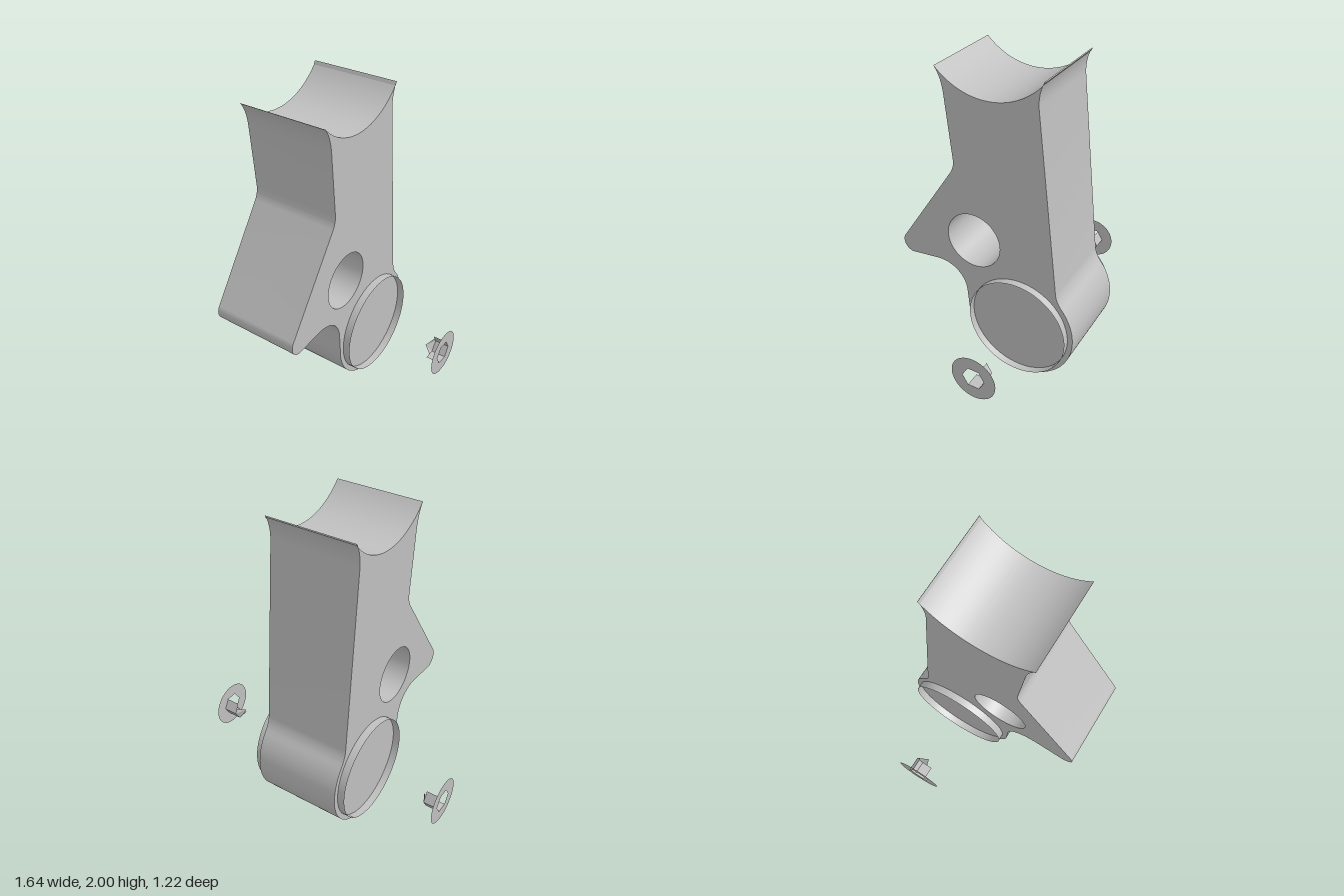
import * as THREE from 'three';
import { toCreasedNormals } from 'three/addons/utils/BufferGeometryUtils.js';

const HALF = 0.283;               // half width of the arm
const PIVOT = { u: 0.24, y: 0.365 }; // pivot centre, u = -z

// Side outline of the arm, drawn in (u = -z, y)
function armShape() {
  const s = new THREE.Shape();
  s.moveTo(-0.305, 1.955);
  s.quadraticCurveTo(-0.258, 1.9, -0.247, 1.78);
  s.lineTo(-0.206, 1.41);
  s.quadraticCurveTo(-0.2, 1.36, -0.228, 1.315);
  s.absarc(-0.538, 0.715, 0.073, 2.545, 4.6, false);        // nose
  s.lineTo(-0.36, 0.662);
  s.bezierCurveTo(-0.25, 0.675, -0.155, 0.61, -0.138, 0.5);
  s.absarc(PIVOT.u, PIVOT.y, 0.365, Math.PI, Math.PI * 2 + 0.7, false); // round end
  s.quadraticCurveTo(0.487, 0.643, 0.48, 0.69);
  s.lineTo(0.342, 1.85);
  s.quadraticCurveTo(0.336, 1.93, 0.37, 2.0);
  s.absarc(0.018, 2.27, 0.45, -0.66, -2.37, true);          // saddle
  const hole = new THREE.Path();
  hole.absarc(-0.08, 0.885, 0.183, 0, Math.PI * 2, true);
  s.holes.push(hole);
  return s;
}

// Corner of the hex socket in (z, y) offset from the pivot
const HEX_R = 0.072;
const hexPoint = (i) => {
  const a = (i * Math.PI) / 3;
  return [HEX_R * Math.cos(a), HEX_R * Math.sin(a)];
};

export function createModel() {
  const model = new THREE.Group();
  model.name = 'pivotArm';
  const grey = new THREE.MeshStandardMaterial({ color: 0xc0c0c0, side: THREE.DoubleSide });
  grey.name = 'grey';

  const add = (geometry, name, parent = model) => {
    const mesh = new THREE.Mesh(geometry, grey);
    mesh.name = name;
    parent.add(mesh);
    return mesh;
  };

  // Arm body
  const arm = new THREE.ExtrudeGeometry(armShape(), { depth: HALF * 2, bevelEnabled: false, curveSegments: 40 });
  arm.translate(0, 0, -HALF).rotateY(Math.PI / 2);
  add(toCreasedNormals(arm, 0.5), 'armBody');

  for (const side of [1, -1]) {
    const label = side > 0 ? 'left' : 'right';

    // Thin open rim around the pivot
    const rim = new THREE.CylinderGeometry(0.332, 0.332, 0.048, 64, 1, true);
    rim.rotateZ(Math.PI / 2).translate(side * (HALF + 0.024), PIVOT.y, -PIVOT.u);
    add(rim, label + 'Rim');

    // Separate screw head: flat ring with a hex opening
    const screw = new THREE.Group();
    screw.name = label + 'Screw';
    screw.position.set(0, PIVOT.y, -PIVOT.u);
    model.add(screw);

    const face = new THREE.Shape();
    face.absarc(0, 0, 0.146, 0, Math.PI * 2, false);
    const hex = new THREE.Path();
    hex.setFromPoints([0, 1, 2, 3, 4, 5].map((i) => new THREE.Vector2(...hexPoint(i))));
    hex.closePath();
    face.holes.push(hex);
    const ring = new THREE.ShapeGeometry(face, 32);
    ring.rotateY(side * Math.PI / 2).translate(side * 0.818, 0, 0);
    add(ring, label + 'ScrewFace', screw);

    // Three socket walls: upper back, lower back and bottom
    const at = (x, [z, y]) => [side * x, y, z];
    const make = (triangles, name) => {
      // flip the corner order on the left so both sides face outwards
      const corners = triangles.flatMap((t) => (side > 0 ? [t[0], t[2], t[1]] : t));
      const g = new THREE.BufferGeometry();
      g.setAttribute('position', new THREE.Float32BufferAttribute(corners.flat(), 3));
      g.computeVertexNormals();
      add(g, name, screw);
    };
    const walls = [];
    for (let i = 2; i < 5; i++) {
      const a = hexPoint(i), b = hexPoint(i + 1);
      walls.push([at(0.818, a), at(0.728, a), at(0.728, b)], [at(0.818, a), at(0.728, b), at(0.818, b)]);
    }
    make(walls, label + 'SocketWalls');

    // Partial pointed socket floor
    const mid = (i) => hexPoint(i).map((v, k) => (v + hexPoint(i + 1)[k]) / 2);
    const edge = [mid(2), hexPoint(3), hexPoint(4), mid(4)];
    const tip = at(0.695, [0, 0]);
    make([0, 1, 2].map((i) => [at(0.728, edge[i]), tip, at(0.728, edge[i + 1])]), label + 'SocketTip');
  }
  return model;
}
